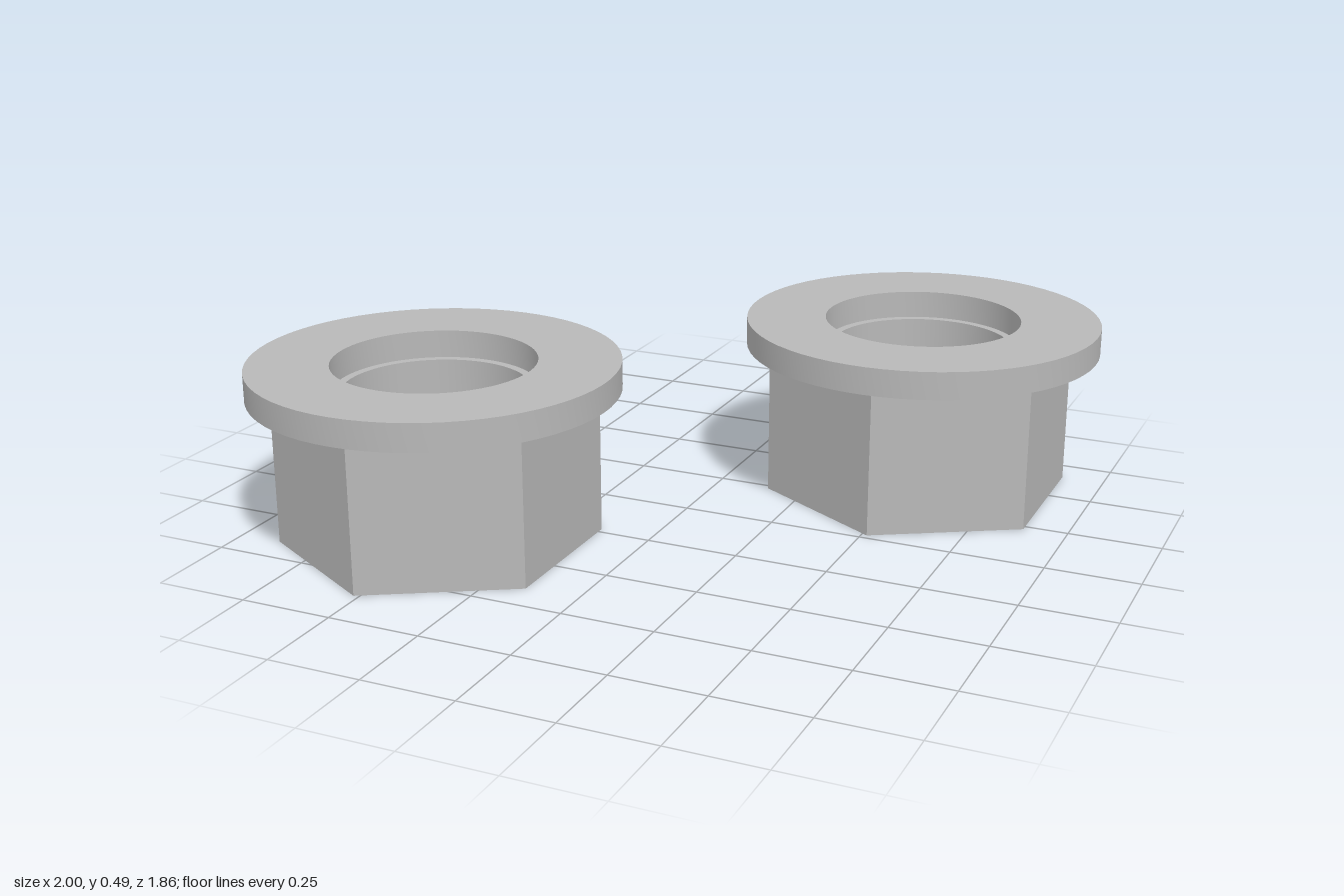
import * as THREE from 'three';
import { toCreasedNormals } from 'three/addons/utils/BufferGeometryUtils.js';

const HEX_HEIGHT = 0.412;
const FLANGE_HEIGHT = 0.075;

// Upright plate with a round hole, standing on its own base
function ring(shape, holeRadius, height) {
  const hole = new THREE.Path();
  hole.absarc(0, 0, holeRadius, 0, Math.PI * 2, true);
  shape.holes.push(hole);
  const geometry = new THREE.ExtrudeGeometry(shape, {
    depth: height, bevelEnabled: false, curveSegments: 32,
  });
  geometry.rotateX(-Math.PI / 2);
  return toCreasedNormals(geometry, 0.5);
}

export function createModel() {
  const model = new THREE.Group();
  model.name = 'flangedBushings';

  const steel = new THREE.MeshStandardMaterial({ color: 0xb8b8b8 });
  steel.name = 'grey steel';

  // Hexagonal sleeve with corners pointing front and back
  const corners = [];
  for (let i = 0; i < 6; i++) {
    const a = Math.PI / 6 + (i * Math.PI) / 3;
    corners.push(new THREE.Vector2(0.425 * Math.cos(a), 0.425 * Math.sin(a)));
  }
  const sleeveGeometry = ring(new THREE.Shape(corners), 0.245, HEX_HEIGHT);

  // Round flange whose wider hole leaves a small ledge above the bore
  const disc = new THREE.Shape();
  disc.absarc(0, 0, 0.485, 0, Math.PI * 2, false);
  const flangeGeometry = ring(disc, 0.268, FLANGE_HEIGHT);

  // Two identical bushings placed diagonally
  for (const [name, x, z] of [['rightBushing', -0.515, 0.443], ['leftBushing', 0.515, -0.443]]) {
    const bushing = new THREE.Group();
    bushing.name = name;
    const sleeve = new THREE.Mesh(sleeveGeometry, steel);
    sleeve.name = 'hexSleeve';
    const flange = new THREE.Mesh(flangeGeometry, steel);
    flange.name = 'flange';
    flange.position.y = HEX_HEIGHT;
    bushing.add(sleeve, flange);
    bushing.position.set(x, 0, z);
    model.add(bushing);
  }
  return model;
}
